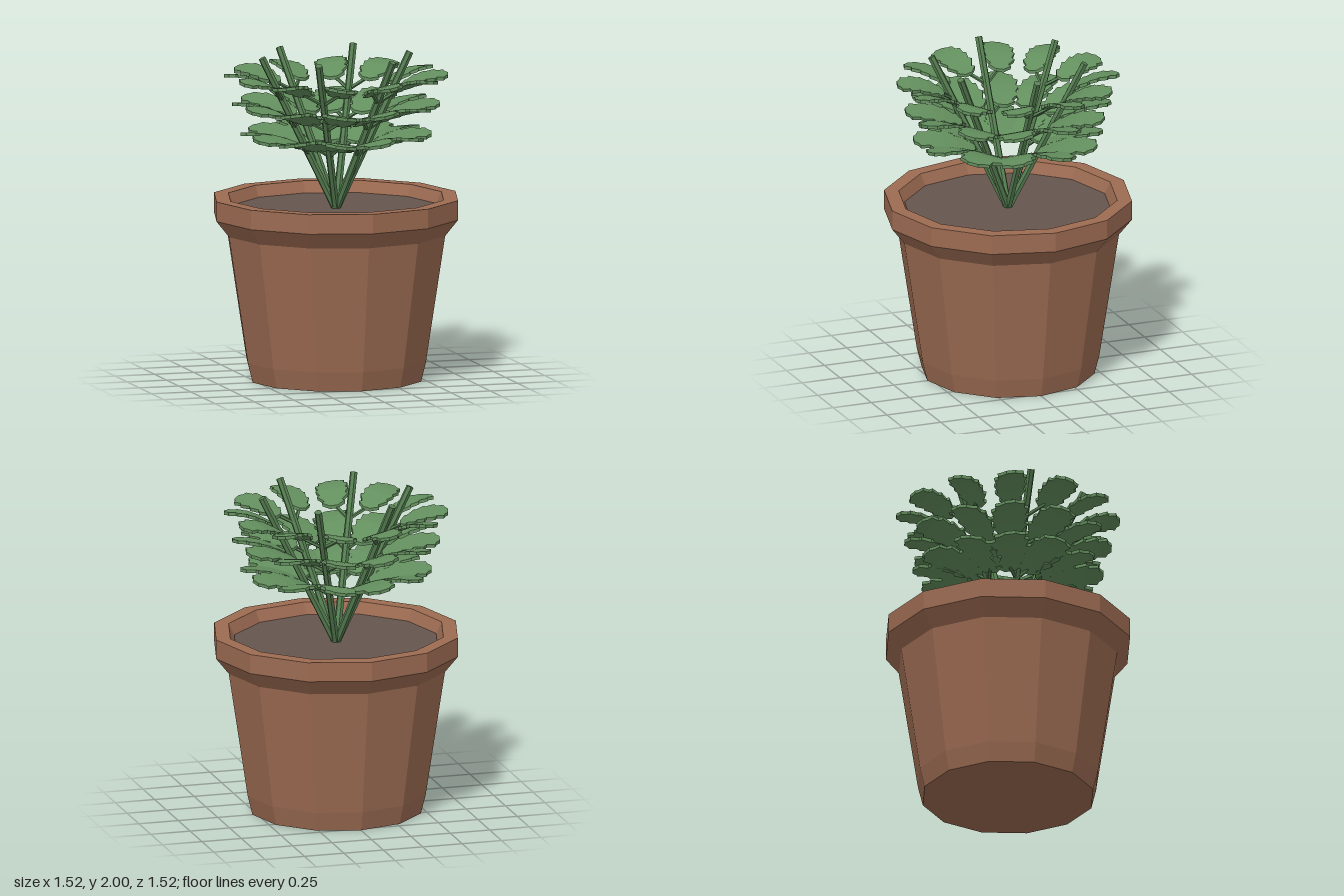
import * as THREE from 'three';

const potMat = new THREE.MeshStandardMaterial({ color: 0x9c6b52, name: 'terracotta' });
const soilMat = new THREE.MeshStandardMaterial({ color: 0x65564e, name: 'soil' });
const leafMat = new THREE.MeshStandardMaterial({ color: 0x638f5e, name: 'leafGreen' });
const stemMat = new THREE.MeshStandardMaterial({ color: 0x567f52, name: 'stemGreen' });

// Faceted normals
function facet(geo) {
  const g = geo.index ? geo.toNonIndexed() : geo;
  g.computeVertexNormals();
  return g;
}

function part(name, geo, mat) {
  const mesh = new THREE.Mesh(facet(geo), mat);
  mesh.name = name;
  return mesh;
}

// Straight rod between two points
function rod(name, a, b, r0, r1, sides) {
  const dir = b.clone().sub(a);
  const mesh = part(name, new THREE.CylinderGeometry(r1, r0, dir.length(), sides), stemMat);
  mesh.position.copy(a).addScaledVector(dir, 0.5);
  mesh.quaternion.setFromUnitVectors(new THREE.Vector3(0, 1, 0), dir.normalize());
  return mesh;
}

const polar = (r, y, a) => new THREE.Vector3(r * Math.cos(a), y, r * Math.sin(a));

// Toothed leaf outline: distance along the leaf, half width
const outline = [[0, 0.25], [0.1, 0.7], [0.14, 0.55], [0.3, 0.95], [0.34, 0.78],
  [0.5, 1], [0.54, 0.84], [0.72, 1], [0.76, 0.76], [0.91, 0.8], [0.94, 0.5], [1, 0.28]];

// Thin arched leaf along +x, lofted through rectangular sections
function leafGeometry(length, halfWidth, rise) {
  const pos = [], idx = [], t = 0.01;
  for (const [u, w] of outline) {
    const x = u * length, z = w * halfWidth;
    const y = rise * u + 0.025 * Math.sin(Math.PI * u);
    pos.push(x, y + t, -z, x, y + t, z, x, y - t, z, x, y - t, -z);
  }
  for (let i = 0; i < outline.length - 1; i++) {
    for (let k = 0; k < 4; k++) {
      const a = i * 4 + k, b = i * 4 + (k + 1) % 4;
      idx.push(a, b, a + 4, b, b + 4, a + 4);
    }
  }
  const e = (outline.length - 1) * 4;
  idx.push(0, 2, 1, 0, 3, 2, e, e + 1, e + 2, e, e + 2, e + 3);
  const geo = new THREE.BufferGeometry();
  geo.setAttribute('position', new THREE.Float32BufferAttribute(pos, 3));
  geo.setIndex(idx);
  return geo;
}

// Leaf tiers: stem height, leaf base radius and height, tip radius, rise, half width
const tiers = [
  { stemY: 1.39, r: 0.2, y: 1.43, tip: 0.58, rise: 0.075, w: 0.12 },
  { stemY: 1.56, r: 0.28, y: 1.6, tip: 0.63, rise: 0.09, w: 0.115 },
  { stemY: 1.73, r: 0.39, y: 1.79, tip: 0.68, rise: 0.075, w: 0.1 },
];

export function createModel() {
  const model = new THREE.Group();
  model.name = 'pottedPlant';

  // Twelve-sided pot with a flared rim
  const profile = [[0, 0], [0.53, 0], [0.56, 0.12], [0.68, 0.9], [0.76, 1], [0.76, 1.12],
    [0.67, 1.12], [0.615, 1.0]].map(([x, y]) => new THREE.Vector2(x, y));
  model.add(part('pot', new THREE.LatheGeometry(profile, 12), potMat));

  // Soil
  const soil = part('soil', new THREE.CylinderGeometry(0.635, 0.62, 0.04, 12), soilMat);
  soil.position.y = 1.03;
  model.add(soil);

  // Six leaning stems, each with three pairs of leaves
  const baseY = 1.04, topY = 1.99, lean = 0.47;
  for (let i = 0; i < 6; i++) {
    const angle = i * Math.PI / 3;
    const branch = new THREE.Group();
    branch.name = 'branch';
    branch.add(rod('stem', polar(0, baseY, angle), polar(lean, topY, angle), 0.023, 0.023, 6));
    for (const t of tiers) {
      const stemR = lean * (t.stemY - baseY) / (topY - baseY);
      for (const side of [-1, 1]) {
        const a = angle + side * Math.PI / 12;
        const root = polar(t.r, t.y, a);
        branch.add(rod('leafStalk', polar(stemR, t.stemY, angle), polar(t.r + 0.03, t.y + 0.01, a), 0.013, 0.011, 5));
        const leaf = part('leaf', leafGeometry(t.tip - t.r, t.w, t.rise), leafMat);
        leaf.position.copy(root);
        leaf.rotation.set(side * 0.14, -a, 0, 'YXZ');
        branch.add(leaf);
      }
    }
    model.add(branch);
  }
  return model;
}
